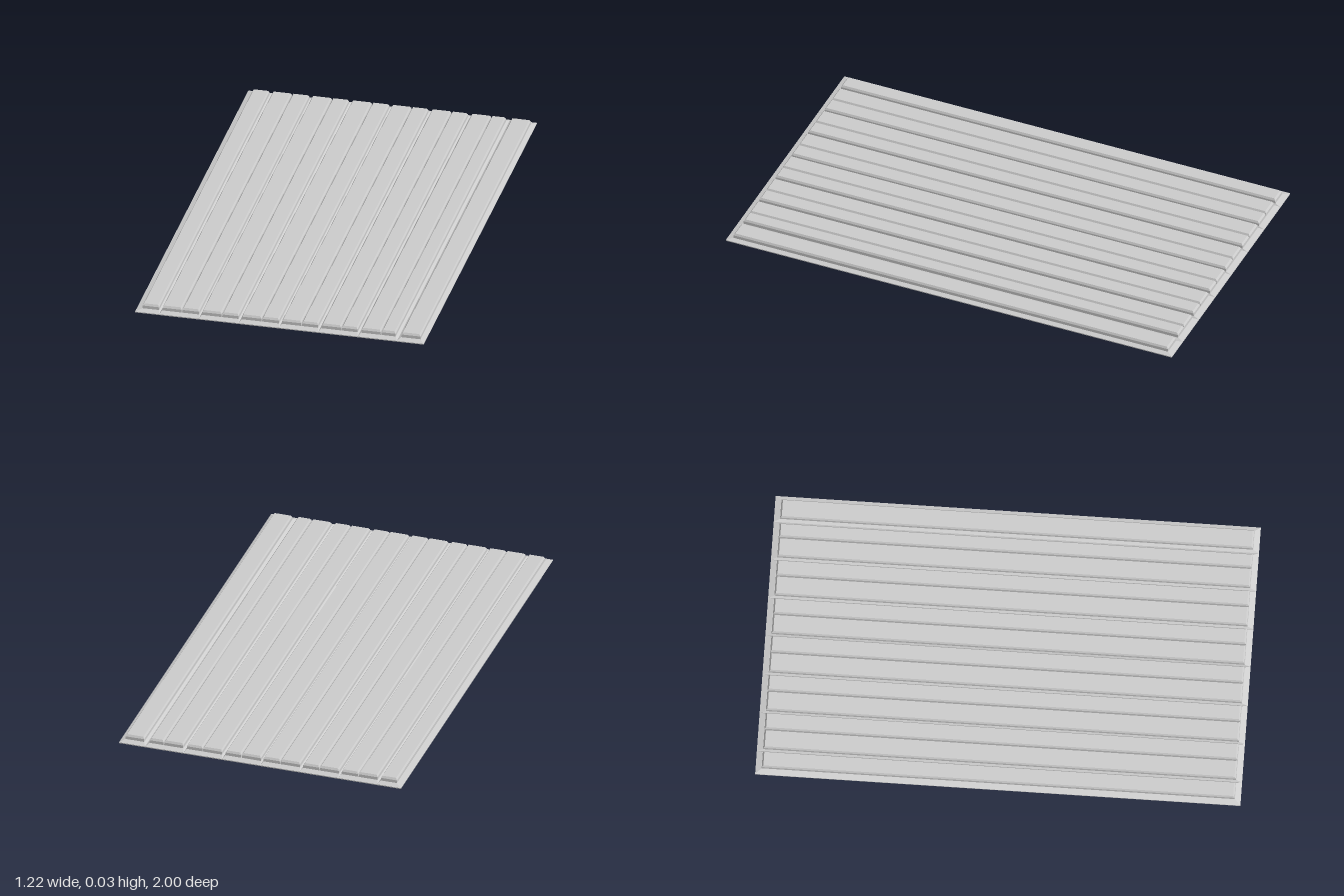
import * as THREE from 'three';

const material = new THREE.MeshStandardMaterial({ color: 0xcccccc, flatShading: true });

// Solid through stacked rectangles, each [y, xMin, xMax, zHalf], bottom to top.
function stackedSolid(name, levels) {
  const rings = levels.map(([y, x0, x1, z]) => [[x0, y, z], [x1, y, z], [x1, y, -z], [x0, y, -z]]);
  const positions = [];
  const quad = (a, b, c, d) => positions.push(...a, ...b, ...c, ...a, ...c, ...d);
  for (let i = 0; i < rings.length - 1; i++) {
    for (let k = 0; k < 4; k++) {
      const n = (k + 1) % 4;
      quad(rings[i][k], rings[i][n], rings[i + 1][n], rings[i + 1][k]);
    }
  }
  quad(...rings[rings.length - 1]);
  quad(...[...rings[0]].reverse());
  const geometry = new THREE.BufferGeometry();
  geometry.setAttribute('position', new THREE.Float32BufferAttribute(positions, 3));
  geometry.computeVertexNormals();
  const mesh = new THREE.Mesh(geometry, material);
  mesh.name = name;
  return mesh;
}

// Each board: outer edges of its base and the slats it carries.
const boards = [
  { edges: [-0.61, -0.508], slats: [[-0.585, -0.514]] },
  { edges: [-0.508, -0.34], slats: [[-0.501, -0.419], [-0.417, -0.345]] },
  { edges: [-0.34, -0.172], slats: [[-0.334, -0.25], [-0.248, -0.178]] },
  { edges: [-0.172, -0.001], slats: [[-0.165, -0.081], [-0.079, -0.007]] },
  { edges: [-0.001, 0.164], slats: [[0.004, 0.087], [0.089, 0.158]] },
  { edges: [0.164, 0.331], slats: [[0.172, 0.255], [0.257, 0.325]] },
  { edges: [0.331, 0.497], slats: [[0.34, 0.423], [0.425, 0.486]] },
  { edges: [0.497, 0.61], slats: [[0.509, 0.591]] },
];

export function createModel() {
  const group = new THREE.Group();
  group.name = 'slattedPanel';

  boards.forEach(({ edges: [left, right], slats }, i) => {
    const board = new THREE.Group();
    board.name = `board${i + 1}`;

    // Thin base with bevelled rim
    board.add(stackedSolid('base', [
      [0, left, right, 1],
      [0.004, left, right, 1],
      [0.01, slats[0][0], slats[slats.length - 1][1], 0.976],
    ]));

    // Raised slats with chamfered tops
    for (const [x0, x1] of slats) {
      board.add(stackedSolid('slat', [
        [0.008, x0, x1, 0.975],
        [0.022, x0 + 0.001, x1 - 0.001, 0.974],
        [0.03, x0 + 0.006, x1 - 0.006, 0.968],
      ]));
    }
    group.add(board);
  });

  return group;
}
